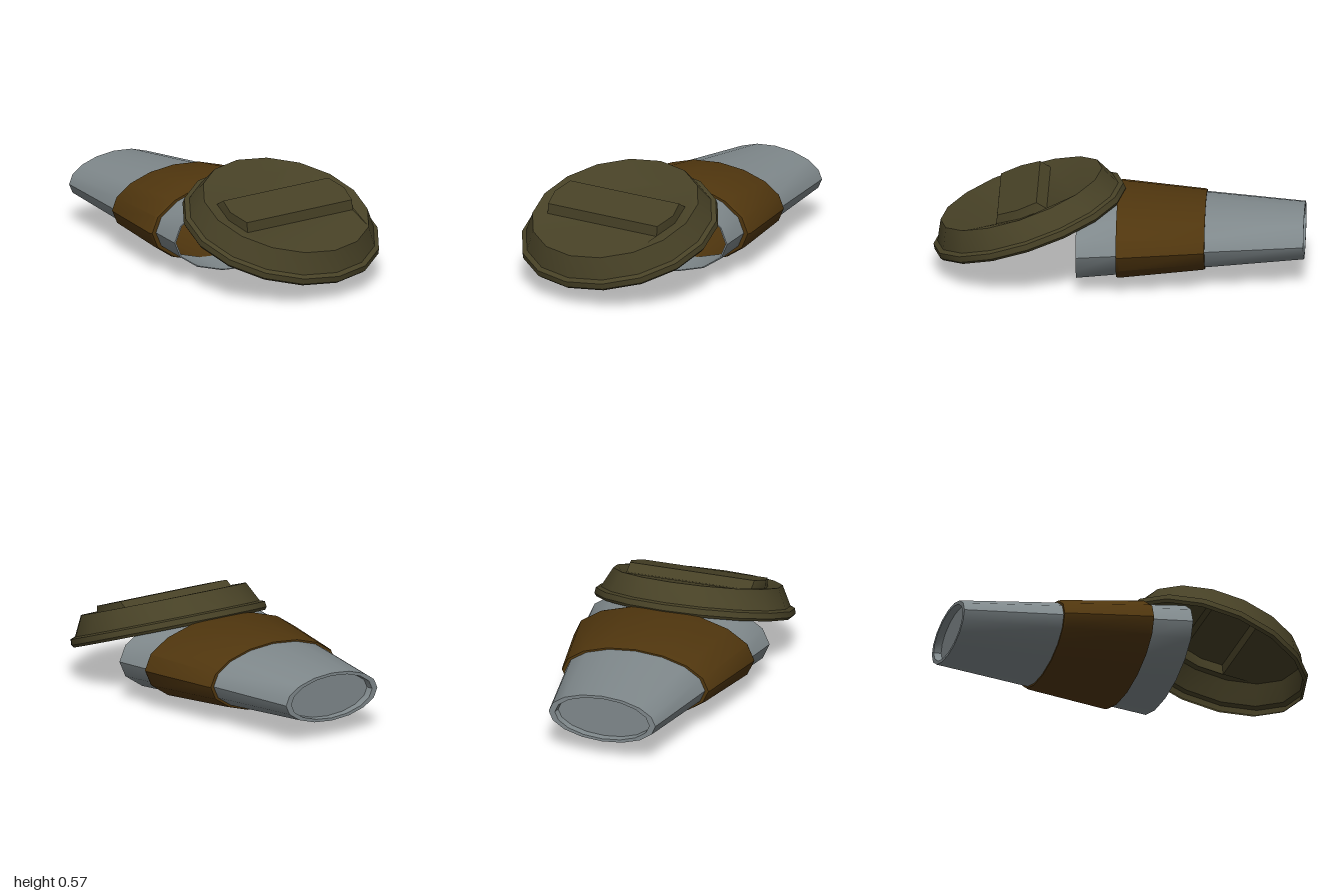
import * as THREE from 'three';
import { toCreasedNormals } from 'three/addons/utils/BufferGeometryUtils.js';

const SIDES = 16;
const CREASE = 0.65;
const FLATTEN = 0.437; // the cup is squashed to an ellipse

const flat = (name, color) => {
  const m = new THREE.MeshStandardMaterial({ color, side: THREE.DoubleSide });
  m.name = name;
  return m;
};

function part(name, geometry, material) {
  const mesh = new THREE.Mesh(toCreasedNormals(geometry, CREASE), material);
  mesh.name = name;
  return mesh;
}

const lathe = (points) =>
  new THREE.LatheGeometry(points.map(([r, y]) => new THREE.Vector2(r, y)), SIDES);

// Turned shape lying along z, flattened in height; points are [half width, z]
const squashed = (points) => lathe(points).scale(1, 1, FLATTEN).rotateX(Math.PI / 2);

// Half width of the tapering cup wall at a given z
const wall = (z) => 0.305 + ((z + 1) / 1.22) * 0.215;

// Press-up bar on the lid: six-sided outline at its foot and at its top
const outline = (back, front) => [
  [-0.355, front], [0.355, front], [0.385, 0], [0.355, back], [-0.355, back], [-0.385, 0],
];
const FOOT = outline(-0.15, 0.138), FOOT_H = 0.147;
const TOP = outline(-0.108, 0.115), TOP_H = 0.197;

function barGeometry() {
  const pos = [], index = [];
  FOOT.forEach(([x, z]) => pos.push(x, FOOT_H, z));
  TOP.forEach(([x, z]) => pos.push(x, TOP_H, z));
  for (let i = 0; i < 6; i++) {
    const j = (i + 1) % 6;
    index.push(i, j, 6 + j, i, 6 + j, 6 + i);
    if (i > 0 && i < 5) index.push(6, 6 + i, 7 + i);
  }
  const g = new THREE.BufferGeometry();
  g.setAttribute('position', new THREE.Float32BufferAttribute(pos, 3));
  g.setIndex(index);
  return g;
}

// Lid top: disc with a hole for the hollow bar, dipping from its edge to the bar
function lidTopGeometry(radius, height) {
  const disc = new THREE.Shape();
  for (let i = 0; i < SIDES; i++) {
    const a = (i / SIDES) * Math.PI * 2;
    disc[i ? 'lineTo' : 'moveTo'](radius * Math.cos(a), radius * Math.sin(a));
  }
  disc.closePath();
  disc.holes.push(new THREE.Path(FOOT.map(([x, z]) => new THREE.Vector2(x, -z))));
  const g = new THREE.ShapeGeometry(disc).rotateX(-Math.PI / 2);
  const p = g.attributes.position;
  for (let i = 0; i < p.count; i++) {
    const rim = Math.hypot(p.getX(i), p.getZ(i)) > radius - 0.01;
    p.setY(i, rim ? height : FOOT_H);
  }
  return g;
}

export function createModel() {
  const paper = flat('grey paper', 0x7f888b);
  const card = flat('brown card', 0x50360e);
  const plastic = flat('olive plastic', 0x474126);
  const model = new THREE.Group();
  model.name = 'squashedCup';

  // Cup lying on its side, mouth towards the front
  const cup = new THREE.Group();
  cup.name = 'cup';
  cup.position.y = 0.23;
  const s0 = -0.465, s1 = 0.005;
  cup.add(
    part('cupMouth', squashed([[wall(s1 - 0.01), s1 - 0.01], [0.52, 0.22], [0.51, 0.22], [wall(s1) - 0.01, s1]]), paper),
    part('cupBody', squashed([
      [0.265, -0.96], [0.27, -1], [0.305, -1], [wall(s0), s0],
    ]), paper),
    part('cupFloor', squashed([[0, -0.96], [0.31, -0.96]]), paper),
    // Sleeve: hollow band, seen from both outside and inside
    part('sleeve', squashed([
      [wall(s0) - 0.004, s0 - 0.005], [0.418, s0 - 0.005], [0.425, s0 + 0.007],
      [0.515, s1 - 0.015], [0.508, s1], [wall(s1) - 0.006, s1], [wall(s0) - 0.004, s0 - 0.005],
    ]), card),
  );

  // Lid leaning on the mouth of the cup
  const lid = new THREE.Group();
  lid.name = 'lid';
  lid.position.set(0, 0.268, 0.473);
  lid.rotation.x = 0.333;
  lid.add(
    part('lidSide', lathe([
      [0.533, 0], [0.545, 0.015], [0.541, 0.046], [0.515, 0.055], [0.46, 0.163],
    ]), plastic),
    part('lidTop', lidTopGeometry(0.46, 0.163), plastic),
    part('lidBar', barGeometry(), plastic),
  );

  model.add(cup, lid);
  return model;
}
